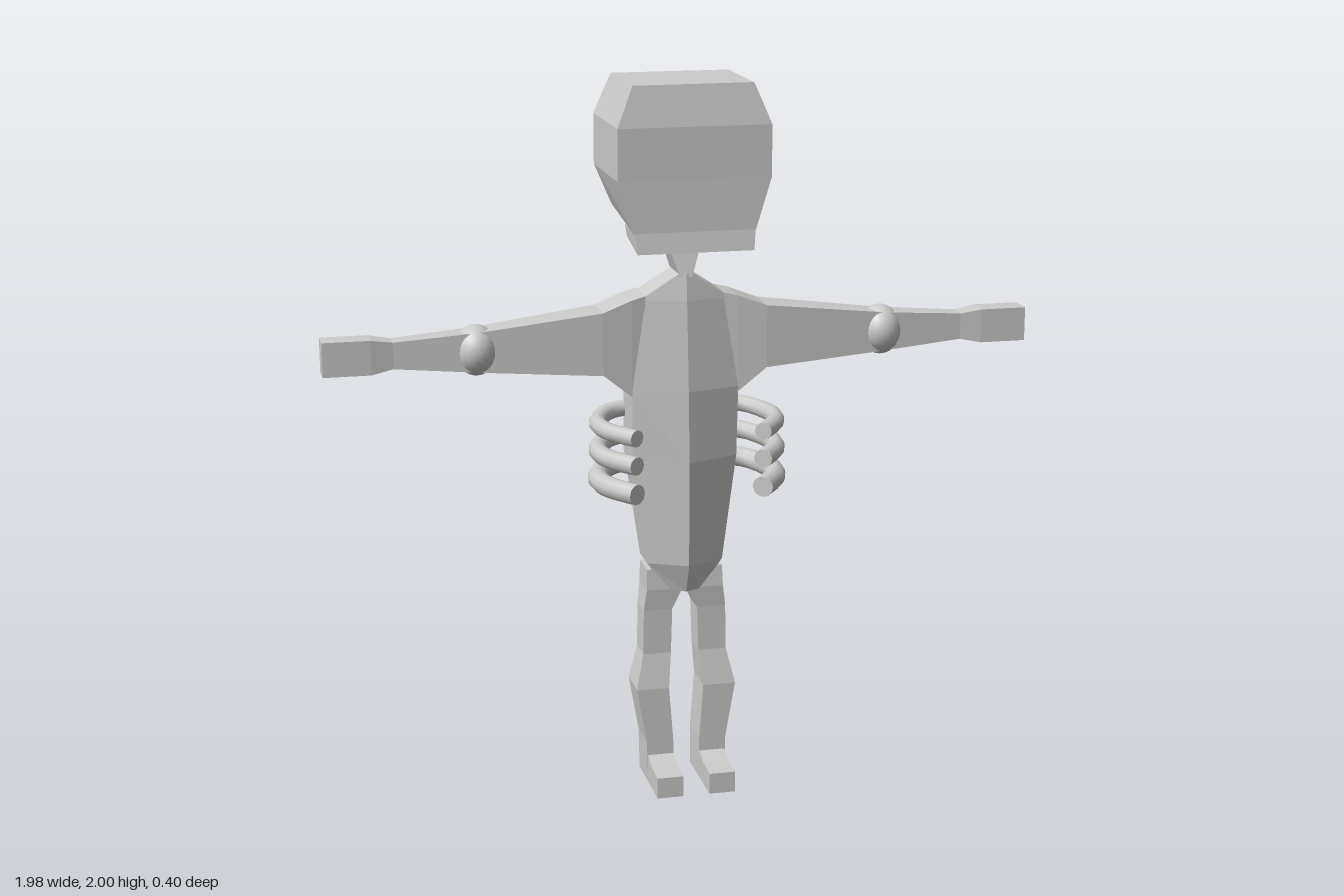
import * as THREE from 'three';

const flat = new THREE.MeshStandardMaterial({ color: 0xcccccc, flatShading: true });
const smooth = new THREE.MeshStandardMaterial({ color: 0xcccccc });

// Skin a list of equal-length rings and cap both ends; faces are turned outward by signed volume
function loft(name, rings) {
  const tris = [];
  const n = rings[0].length;
  for (let i = 0; i < rings.length - 1; i++) {
    for (let j = 0; j < n; j++) {
      const k = (j + 1) % n;
      const a = rings[i][j], b = rings[i][k], c = rings[i + 1][k], d = rings[i + 1][j];
      tris.push([a, b, c], [a, c, d]);
    }
  }
  const last = rings[rings.length - 1];
  for (let j = 1; j < n - 1; j++) {
    tris.push([rings[0][0], rings[0][j + 1], rings[0][j]], [last[0], last[j], last[j + 1]]);
  }
  const v = (p) => new THREE.Vector3(...p);
  const volume = tris.reduce((s, [a, b, c]) => s + v(a).dot(v(b).cross(v(c))), 0);
  const pos = tris.flatMap((t) => (volume < 0 ? [t[0], t[2], t[1]] : t)).flat();
  const geo = new THREE.BufferGeometry();
  geo.setAttribute('position', new THREE.Float32BufferAttribute(pos, 3));
  geo.computeVertexNormals();
  const mesh = new THREE.Mesh(geo, flat);
  mesh.name = name;
  return mesh;
}

// Horizontal ring; front and back edges may lie at different heights
const level = (x0, x1, zf, zb, yf, yb = yf) => [[x0, yf, zf], [x1, yf, zf], [x1, yb, zb], [x0, yb, zb]];

function createHead() {
  const head = new THREE.Group();
  head.name = 'head';
  const ring = (w, zf, zb, yf, yb) => level(-w, w, zf, zb, yf, yb);
  head.add(loft('skull', [
    ring(0.165, 0.105, -0.18, 2),
    ring(0.21, 0.125, -0.2, 1.89),
    ring(0.21, 0.125, -0.2, 1.75),
    ring(0.165, 0.128, -0.18, 1.605, 1.64),
    ring(0.06, 0, -0.095, 1.59, 1.555),
  ]));
  head.add(loft('jaw', [
    ring(0.165, 0.128, 0, 1.61, 1.615),
    ring(0.16, 0.137, 0, 1.555, 1.582),
  ]));
  head.add(loft('neck', [
    ring(0.055, 0, -0.095, 1.6),
    ring(0.045, 0, -0.095, 1.55),
    ring(0.017, 0.02, -0.095, 1.465),
  ]));
  return head;
}

// Six-sided torso with a ridge down the chest and the spine
function createTorso() {
  // height, half width, chest ridge, side front, side back, spine ridge
  const sections = [
    [1.475, 0.018, 0.02, 0.015, -0.09, -0.095],
    [1.40, 0.13, 0.03, 0, -0.11, -0.155],
    [1.15, 0.15, 0.05, 0.01, -0.11, -0.155],
    [0.95, 0.148, 0.06, 0, -0.12, -0.18],
    [0.65, 0.108, 0.055, 0, -0.095, -0.165],
    [0.565, 0.05, 0.02, 0, -0.08, -0.12],
  ];
  return loft('torso', sections.map(([y, w, f, sf, sb, b]) => [
    [0, y, f], [w, y, sf], [w, y, sb], [0, y, b], [-w, y, sb], [-w, y, sf],
  ]));
}

function createArm(s) {
  const arm = new THREE.Group();
  arm.name = s > 0 ? 'leftArm' : 'rightArm';
  // distance out, bottom, top, front, back
  const sections = [
    [0.11, 1.12, 1.415, 0.005, -0.115],
    [0.15, 1.135, 1.405, 0.01, -0.115],
    [0.23, 1.2, 1.375, 0.015, -0.105],
    [0.57, 1.225, 1.335, 0, -0.08],
    [0.8, 1.245, 1.318, -0.01, -0.067],
    [0.86, 1.233, 1.328, -0.003, -0.073],
    [0.99, 1.233, 1.328, -0.003, -0.073],
  ];
  arm.add(loft('armAndHand', sections.map(([x, b, t, zf, zb]) => [
    [s * x, b, zf], [s * x, t, zf], [s * x, t, zb], [s * x, b, zb],
  ])));
  const elbow = new THREE.Mesh(new THREE.SphereGeometry(1, 24, 16), smooth);
  elbow.name = 'elbow';
  elbow.scale.set(0.06, 0.07, 0.068);
  elbow.position.set(s * 0.572, 1.28, -0.04);
  arm.add(elbow);
  return arm;
}

function createLeg(s) {
  const leg = new THREE.Group();
  leg.name = s > 0 ? 'leftLeg' : 'rightLeg';
  // height, inside, outside, front, back
  const sections = [
    [0.63, 0.005, 0.108, 0, -0.095],
    [0.57, 0.008, 0.11, 0.005, -0.095],
    [0.51, 0.036, 0.118, 0, -0.085],
    [0.38, 0.04, 0.12, 0, -0.085],
    [0.28, 0.05, 0.143, 0.02, -0.095],
    [0.12, 0.038, 0.115, 0.02, -0.095],
    [0, 0.038, 0.112, 0.02, -0.095],
  ];
  leg.add(loft('shin', sections.map(([y, i, o, zf, zb]) => level(s * i, s * o, zf, zb, y))));
  leg.add(loft('foot', [[0, 0.085], [0.025, 0.08], [0.07, 0.064], [0.145, 0.06]].map(([z, t]) => [
    [s * 0.038, 0, z], [s * 0.112, 0, z], [s * 0.112, t, z], [s * 0.038, t, z],
  ])));
  return leg;
}

// Three curved ribs that reach forward from the back of each side
function createRibs(s) {
  const ribs = new THREE.Group();
  ribs.name = s > 0 ? 'leftRibs' : 'rightRibs';
  for (const [y, r] of [[1.065, 0.024], [0.988, 0.026], [0.908, 0.029]]) {
    const path = new THREE.CatmullRomCurve3([
      [0.11, 0.012, -0.12], [0.19, 0.006, -0.1], [0.235, 0, -0.04], [0.247, 0, 0.03], [0.232, 0, 0.1], [0.175, 0, 0.188],
    ].map(([x, dy, z]) => new THREE.Vector3(s * x, y + dy, z)));
    const rib = new THREE.Mesh(new THREE.TubeGeometry(path, 16, r, 10), smooth);
    rib.name = 'rib';
    ribs.add(rib);
    // Flat end
    const cap = new THREE.Mesh(new THREE.CircleGeometry(r, 10), smooth);
    cap.name = 'ribEnd';
    cap.position.copy(path.getPoint(1));
    cap.lookAt(cap.position.clone().add(path.getTangent(1)));
    ribs.add(cap);
  }
  return ribs;
}

export function createModel() {
  const model = new THREE.Group();
  model.name = 'figure';
  model.add(createHead(), createTorso());
  for (const s of [1, -1]) model.add(createArm(s), createLeg(s), createRibs(s));
  return model;
}
